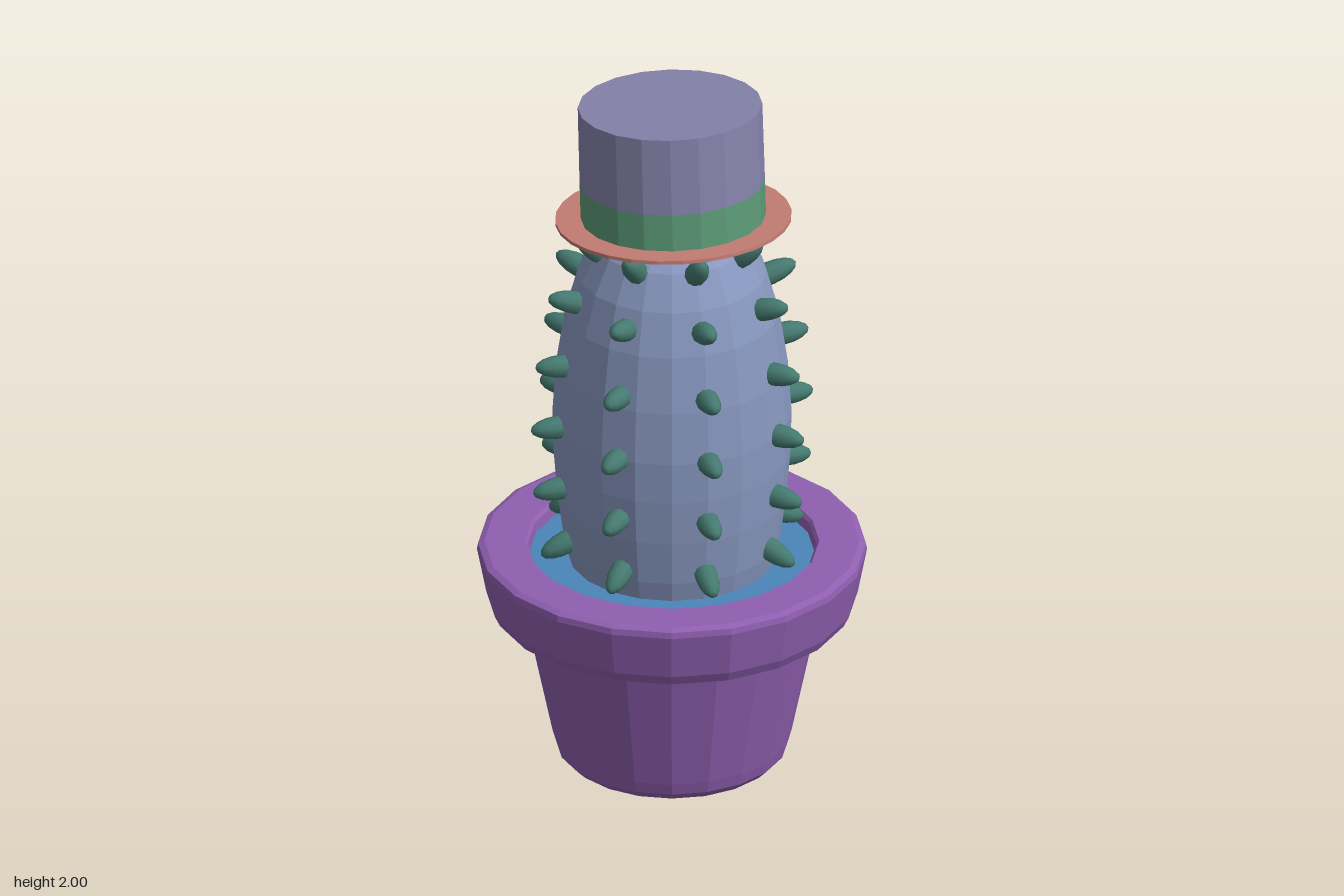
import * as THREE from 'three';

const SIDES = 20;

function material(color) {
  return new THREE.MeshStandardMaterial({ color, flatShading: true });
}

function addMesh(parent, name, geometry, mat) {
  const mesh = new THREE.Mesh(geometry, mat);
  mesh.name = name;
  parent.add(mesh);
  return mesh;
}

function lathe(profile) {
  return new THREE.LatheGeometry(profile.map(([r, y]) => new THREE.Vector2(r, y)), SIDES);
}

export function createModel() {
  const model = new THREE.Group();
  model.name = 'pottedCactus';

  // Pot with bevelled foot and thick, flared rim
  addMesh(model, 'pot', lathe([
    [0, 0], [0.25, 0], [0.29, 0.01], [0.315, 0.035], [0.325, 0.07],
    [0.405, 0.455], [0.465, 0.455], [0.49, 0.465], [0.505, 0.495],
    [0.53, 0.625], [0.527, 0.642], [0.51, 0.65],
    [0.4, 0.65], [0.392, 0.64], [0.385, 0.59],
  ]), material(0x8f5fb0));

  // Soil
  const soil = addMesh(model, 'soil', new THREE.CylinderGeometry(0.392, 0.385, 0.03, SIDES), material(0x4a86b8));
  soil.position.y = 0.597;

  // Cactus body
  const bodyProfile = [
    [0.275, 0.58], [0.295, 0.67], [0.312, 0.8], [0.322, 0.93], [0.325, 1.05],
    [0.315, 1.2], [0.291, 1.36], [0.257, 1.48], [0.21, 1.575], [0.15, 1.635],
    [0.08, 1.665], [0, 1.675],
  ];
  addMesh(model, 'cactusBody', lathe(bodyProfile), material(0x8898c0));

  // Spines: six rings of eight, leaning with the curve of the body
  const spines = new THREE.Group();
  spines.name = 'spines';
  model.add(spines);
  const spineGeometry = new THREE.SphereGeometry(1, 10, 8);
  spineGeometry.scale(0.032, 0.08, 0.032);
  const spineMaterial = new THREE.MeshStandardMaterial({ color: 0x457a70 });
  const rings = [ // radius, height, upward lean
    [0.3, 0.695, -0.4], [0.317, 0.863, -0.08], [0.323, 1.05, 0],
    [0.31, 1.235, 0.08], [0.277, 1.425, 0.3], [0.215, 1.575, 0.75],
  ];
  const up = new THREE.Vector3(0, 1, 0);
  for (const [radius, y, lean] of rings) {
    for (let i = 0; i < 8; i++) {
      const a = i * Math.PI / 4;
      const spine = addMesh(spines, 'spine', spineGeometry, spineMaterial);
      spine.position.set(Math.sin(a) * radius, y, Math.cos(a) * radius);
      const direction = new THREE.Vector3(
        Math.sin(a) * Math.cos(lean), Math.sin(lean), Math.cos(a) * Math.cos(lean));
      spine.quaternion.setFromUnitVectors(up, direction);
    }
  }

  // Top hat, tipped slightly backwards
  const hat = new THREE.Group();
  hat.name = 'hat';
  hat.position.set(0, 1.648, 0.012);
  hat.rotation.x = -0.09;
  model.add(hat);
  addMesh(hat, 'hatBrim', new THREE.CylinderGeometry(0.322, 0.322, 0.01, 28), material(0xc47d74));
  const band = addMesh(hat, 'hatBand', new THREE.CylinderGeometry(0.252, 0.252, 0.11, SIDES), material(0x5c9a78));
  band.position.y = 0.055;
  const crown = addMesh(hat, 'hatCrown', new THREE.CylinderGeometry(0.251, 0.252, 0.22, SIDES), material(0x8583ab));
  crown.position.y = 0.22;

  return model;
}
